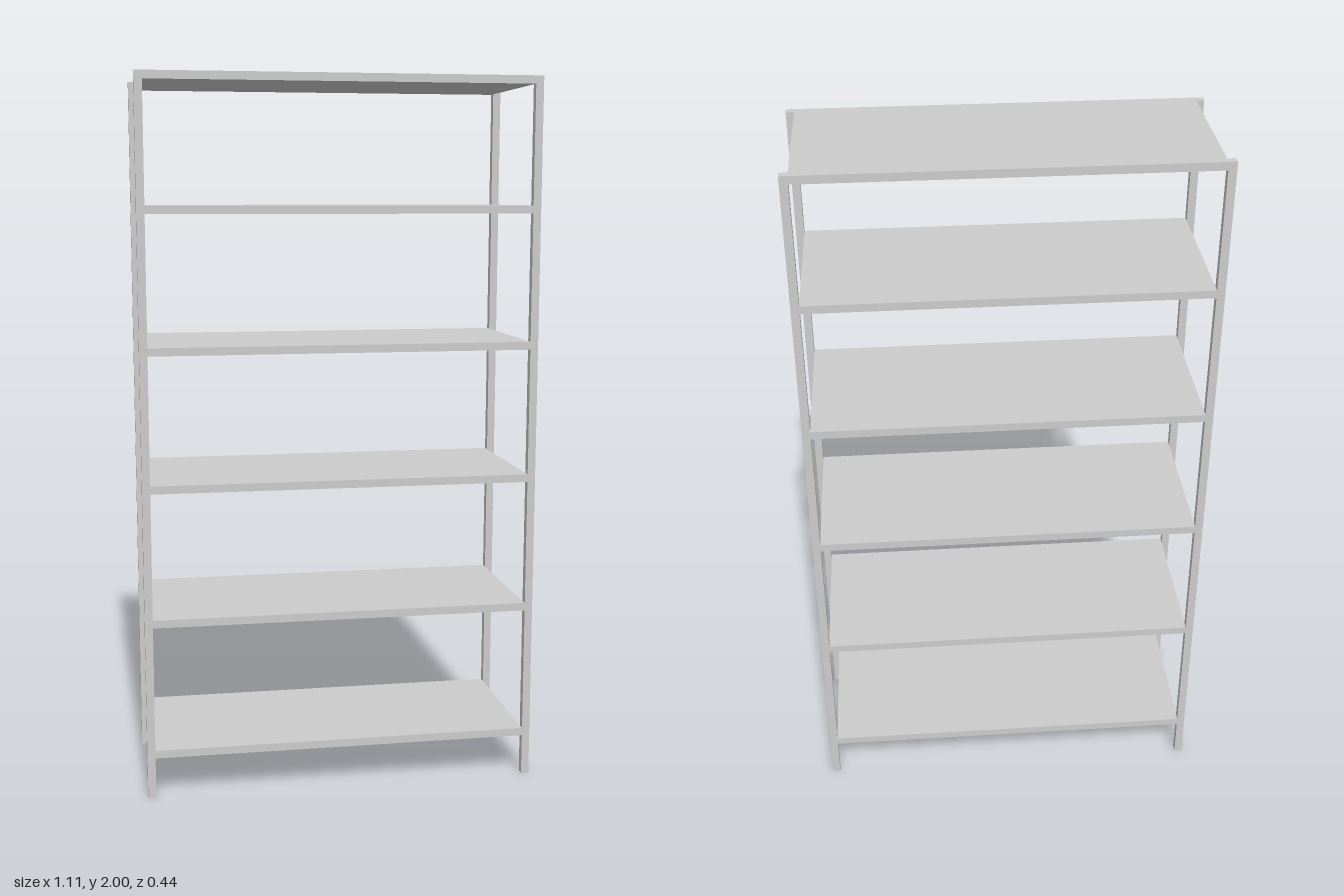
import * as THREE from 'three';

const POST = 0.0222, HEIGHT = 2, WIDTH = 1.111, DEPTH = 0.444, BOARD = 0.0222;

export function createModel() {
  const group = new THREE.Group();
  group.name = 'shelvingUnit';
  const material = new THREE.MeshStandardMaterial({ color: 0xcccccc });

  const addBox = (name, size, position) => {
    const mesh = new THREE.Mesh(new THREE.BoxGeometry(...size), material);
    mesh.name = name;
    mesh.position.set(...position);
    group.add(mesh);
  };

  // four square corner posts
  for (const x of [-1, 1]) {
    for (const z of [-1, 1]) {
      const name = (z > 0 ? 'front' : 'back') + (x > 0 ? 'Left' : 'Right') + 'Post';
      addBox(name, [POST, HEIGHT, POST],
        [x * (WIDTH - POST) / 2, HEIGHT / 2, z * (DEPTH - POST) / 2]);
    }
  }

  // five evenly spaced boards, plus the top board flush with the posts
  const levels = [0, 1, 2, 3, 4].map((i) => 0.128 + i * 0.3778);
  levels.push(HEIGHT - BOARD / 2);
  levels.forEach((y, i) => {
    addBox('shelf' + (i + 1), [WIDTH - 2 * POST, BOARD, DEPTH], [0, y, 0]);
  });

  return group;
}
